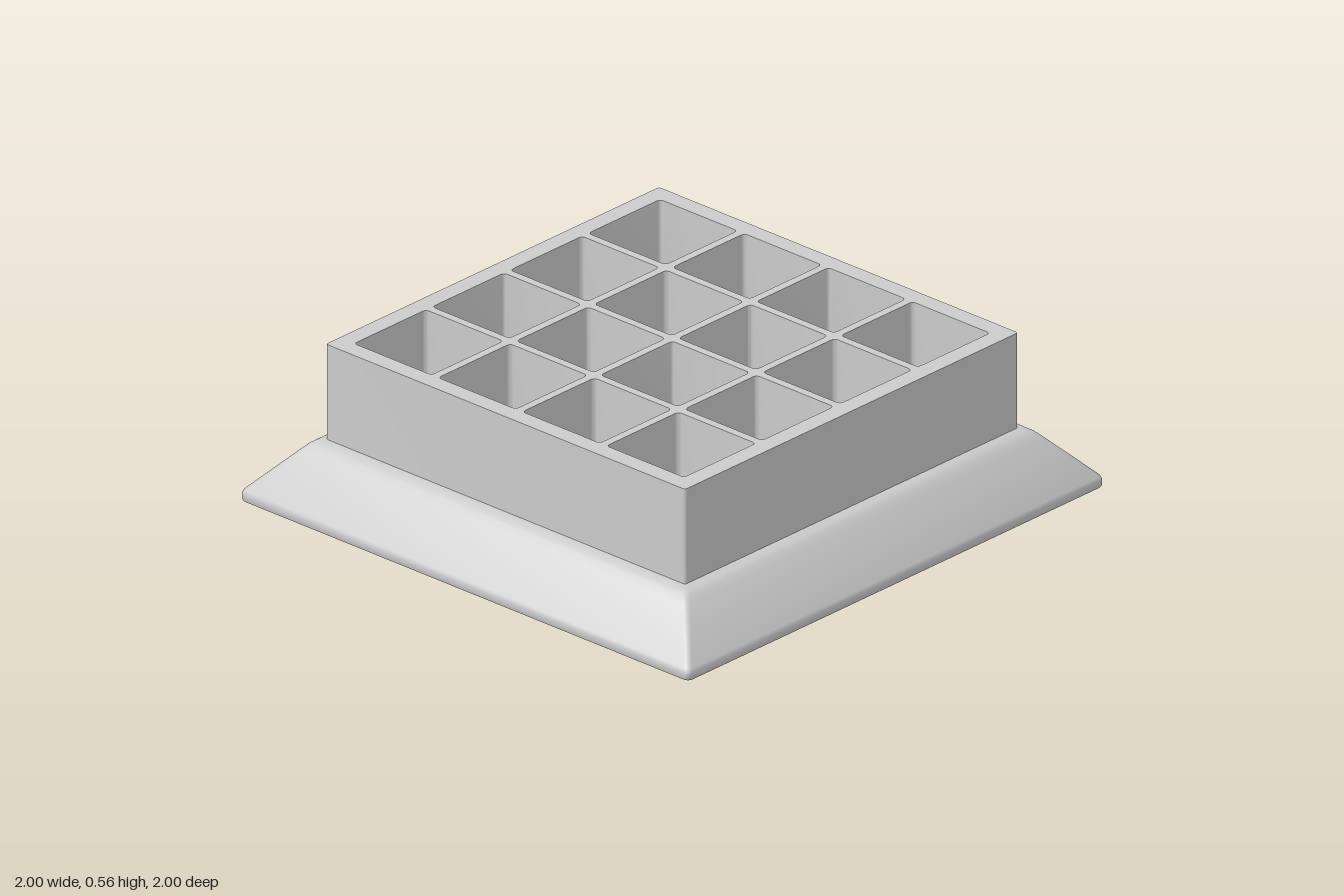
import * as THREE from 'three';
import { toCreasedNormals } from 'three/addons/utils/BufferGeometryUtils.js';

const material = new THREE.MeshStandardMaterial({ color: 0xcccccc });
const CELLS = 4, PITCH = 0.375, CELL = 0.1725;
const BASE_TOP = 0.22, TOP = 0.565;

// Outline of a square with rounded corners
function roundedSquare(half, radius, segments = 4) {
  const r = Math.min(radius, half), points = [];
  for (let c = 0; c < 4; c++) {
    const mid = Math.PI / 4 + c * Math.PI / 2;
    const cx = Math.sign(Math.cos(mid)) * (half - r);
    const cy = Math.sign(Math.sin(mid)) * (half - r);
    for (let s = 0; s <= segments; s++) {
      const a = c * Math.PI / 2 + s / segments * Math.PI / 2;
      points.push(new THREE.Vector2(cx + r * Math.cos(a), cy + r * Math.sin(a)));
    }
  }
  return points;
}

// Skin over stacked rounded squares, profile given as [half width, height]
function loft(profile, radius) {
  const positions = [], index = [];
  const n = roundedSquare(1, radius).length;
  for (const [half, y] of profile) {
    for (const p of roundedSquare(half, radius)) positions.push(p.x, y, -p.y);
  }
  for (let k = 0; k < profile.length - 1; k++) {
    for (let i = 0; i < n; i++) {
      const a = k * n + i, b = k * n + (i + 1) % n;
      if (profile[k][0] > 0) index.push(a, b, b + n);
      if (profile[k + 1][0] > 0) index.push(a, b + n, a + n);
    }
  }
  const geometry = new THREE.BufferGeometry();
  geometry.setAttribute('position', new THREE.Float32BufferAttribute(positions, 3));
  geometry.setIndex(index);
  return toCreasedNormals(geometry, 0.6);
}

function addMesh(parent, name, geometry) {
  const mesh = new THREE.Mesh(geometry, material);
  mesh.name = name;
  parent.add(mesh);
  return mesh;
}

export function createModel() {
  const model = new THREE.Group();
  model.name = 'compartmentTray';

  // Sloping plinth with a softened shoulder, closed top and bottom
  addMesh(model, 'plinth', loft([
    [0, 0], [0.99, 0], [0.997, 0.003], [1, 0.01], [1, 0.03], [0.995, 0.042],
    [0.86, 0.188], [0.845, 0.203], [0.83, 0.213], [0.815, 0.218], [0.8, BASE_TOP], [0, BASE_TOP],
  ], 0.02));

  // Upright box with a grid of square openings
  const outline = new THREE.Shape(roundedSquare(0.8, 0.01));
  const centres = [];
  for (let row = 0; row < CELLS; row++) {
    for (let col = 0; col < CELLS; col++) {
      const x = (col - (CELLS - 1) / 2) * PITCH, y = (row - (CELLS - 1) / 2) * PITCH;
      centres.push([x, y]);
      const hole = roundedSquare(CELL, 0.015).map((p) => new THREE.Vector2(p.x + x, p.y + y));
      outline.holes.push(new THREE.Path(hole.reverse()));
    }
  }
  const boxGeometry = new THREE.ExtrudeGeometry(outline, { depth: TOP - BASE_TOP + 0.01, bevelEnabled: false });
  boxGeometry.rotateX(-Math.PI / 2);
  addMesh(model, 'compartmentBox', toCreasedNormals(boxGeometry, 0.6)).position.y = BASE_TOP - 0.01;

  // Small fillets where the compartment walls meet the floor
  const fillets = new THREE.Group();
  fillets.name = 'compartmentFillets';
  model.add(fillets);
  const profile = [];
  for (let s = 0; s <= 4; s++) {
    const a = s / 4 * Math.PI / 2;
    profile.push([CELL - 0.02 * (1 - Math.cos(a)), BASE_TOP + 0.02 * (1 - Math.sin(a))]);
  }
  const filletGeometry = loft(profile, 0.015);
  for (const [x, y] of centres) addMesh(fillets, 'floorFillet', filletGeometry).position.set(x, 0, -y);

  return model;
}
